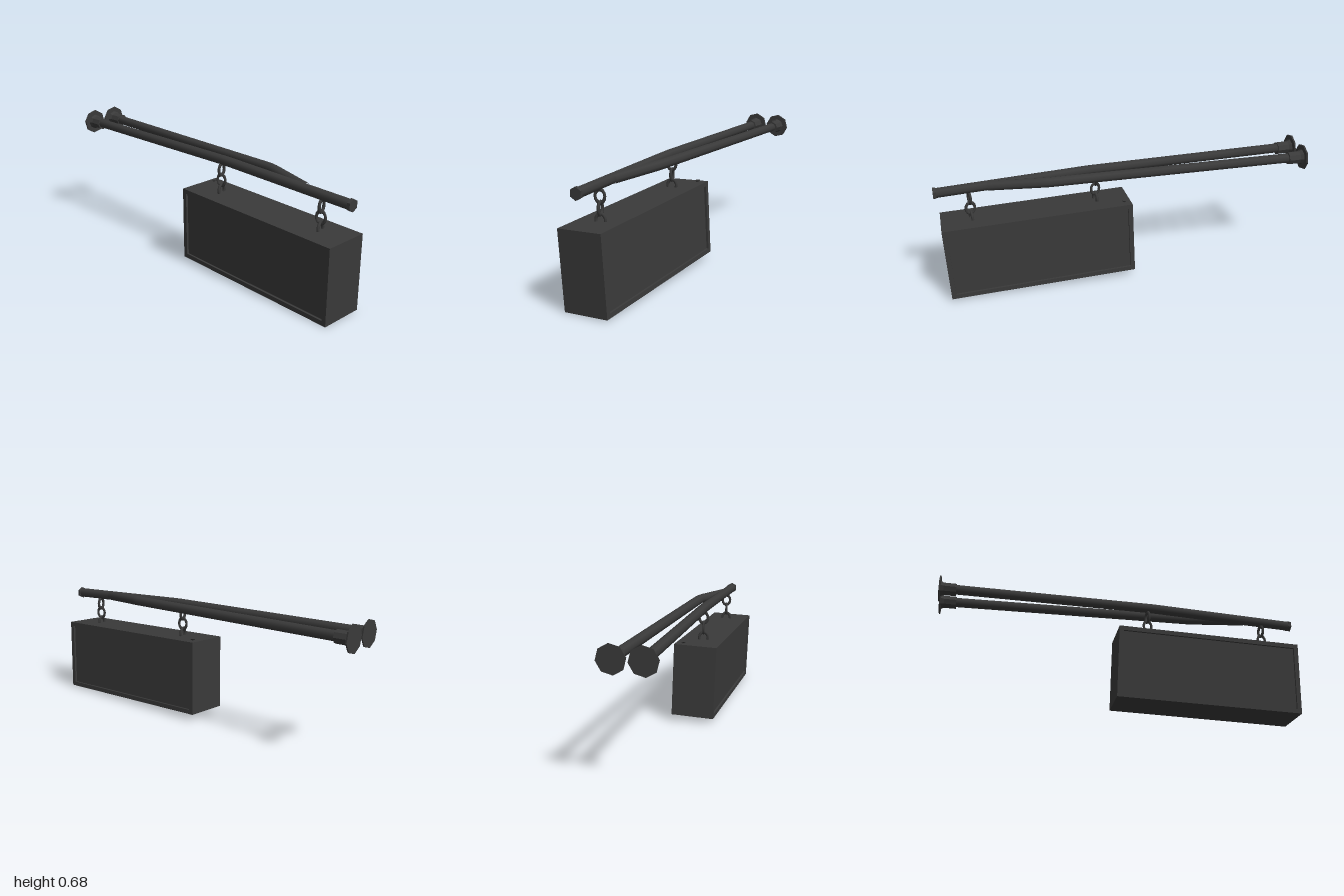
import * as THREE from 'three';

const dark = new THREE.MeshStandardMaterial({ color: 0x3a3a3a });
const darkFlat = new THREE.MeshStandardMaterial({ color: 0x3a3a3a, flatShading: true });

function add(parent, name, geometry, material = darkFlat, x = 0, y = 0, z = 0) {
  const mesh = new THREE.Mesh(geometry, material);
  mesh.name = name;
  mesh.position.set(x, y, z);
  parent.add(mesh);
  return mesh;
}

// Cylinder lying along z; first radius is the front (+z) end
function rod(rFront, rBack, length, sides, turn = 0) {
  return new THREE.CylinderGeometry(rFront, rBack, length, sides).rotateX(Math.PI / 2).rotateZ(turn);
}

// Bent pipe through straight runs
function pipe(points) {
  const path = new THREE.CurvePath();
  const v = points.map((p) => new THREE.Vector3(...p));
  for (let i = 1; i < v.length; i++) path.add(new THREE.LineCurve3(v[i - 1], v[i]));
  return new THREE.TubeGeometry(path, 48, 0.027, 8, false);
}

// Oval chain link standing in the xy plane
function chainLink() {
  return new THREE.TorusGeometry(0.024, 0.0075, 6, 14).scale(1, 1.28, 1);
}

// Lamp box: core with a raised rim around both long faces
function signBox() {
  const W = 0.238, H = 0.405, L = 1.01, rim = 0.024, depth = 0.012;
  const box = new THREE.Group();
  box.name = 'signBox';
  add(box, 'boxCore', new THREE.BoxGeometry(W - 2 * depth, H, L));

  const outline = new THREE.Shape();
  const a = L / 2, b = H / 2;
  outline.moveTo(-a, -b).lineTo(a, -b).lineTo(a, b).lineTo(-a, b).closePath();
  const hole = new THREE.Path();
  const c = a - rim, d = b - rim;
  hole.moveTo(-c, -d).lineTo(-c, d).lineTo(c, d).lineTo(c, -d).closePath();
  outline.holes.push(hole);
  for (const side of [1, -1]) {
    const frame = new THREE.ExtrudeGeometry(outline, { depth, bevelEnabled: false });
    frame.rotateY(side * Math.PI / 2);
    add(box, 'panelFrame', frame, darkFlat, side * (W / 2 - depth), 0, 0);
  }

  // Small knob on the top near the back
  add(box, 'knobStem', new THREE.CylinderGeometry(0.006, 0.006, 0.01, 6), darkFlat, 0.075, b + 0.003, -0.47);
  add(box, 'knob', new THREE.CylinderGeometry(0.014, 0.01, 0.005, 8), darkFlat, 0.075, b + 0.008, -0.47);

  // Hangs slightly askew
  box.position.set(-0.037, 0.223, 0.47);
  box.rotation.set(0.028, -0.015, 0.035);
  return box;
}

export function createModel() {
  const model = new THREE.Group();
  model.name = 'hangingSign';
  model.add(signBox());

  // Main pipe and the brace that merges into it
  const px = -0.046;
  add(model, 'mainPipe', pipe([[px, 0.618, -0.985], [px, 0.616, 0.18], [px, 0.586, 0.99]]), dark);
  add(model, 'bracePipe', pipe([[0.1, 0.617, -0.985], [0.04, 0.613, 0.42], [-0.038, 0.597, 0.72]]), dark);
  add(model, 'pipeCap', rod(0.032, 0.032, 0.016, 6), darkFlat, px, 0.586, 0.992);

  // Wall mounts
  for (const x of [px, 0.1]) {
    const mount = new THREE.Group();
    mount.name = 'wallMount';
    mount.position.set(x, 0.616, 0);
    add(mount, 'wallFlange', rod(0.069, 0.071, 0.008, 8, -0.13), darkFlat, 0, 0, -0.996);
    add(mount, 'flangeNeck', rod(0.035, 0.043, 0.016, 8), darkFlat, 0, 0, -0.984);
    add(mount, 'pipeCollar', rod(0.035, 0.035, 0.074, 8), darkFlat, 0, 0, -0.947);
    model.add(mount);
  }

  // Two chains of alternating links
  for (const [y, z] of [[0.536, 0.82], [0.56, 0.15]]) {
    const chain = new THREE.Group();
    chain.name = 'chain';
    for (let i = 0; i < 3; i++) {
      const link = add(chain, 'chainLink', chainLink(), dark, 0, -0.057 * i, 0);
      link.rotation.y = 0.2 + (i % 2) * Math.PI / 2;
    }
    chain.position.set(px + 0.003, y, z);
    model.add(chain);
  }
  return model;
}
